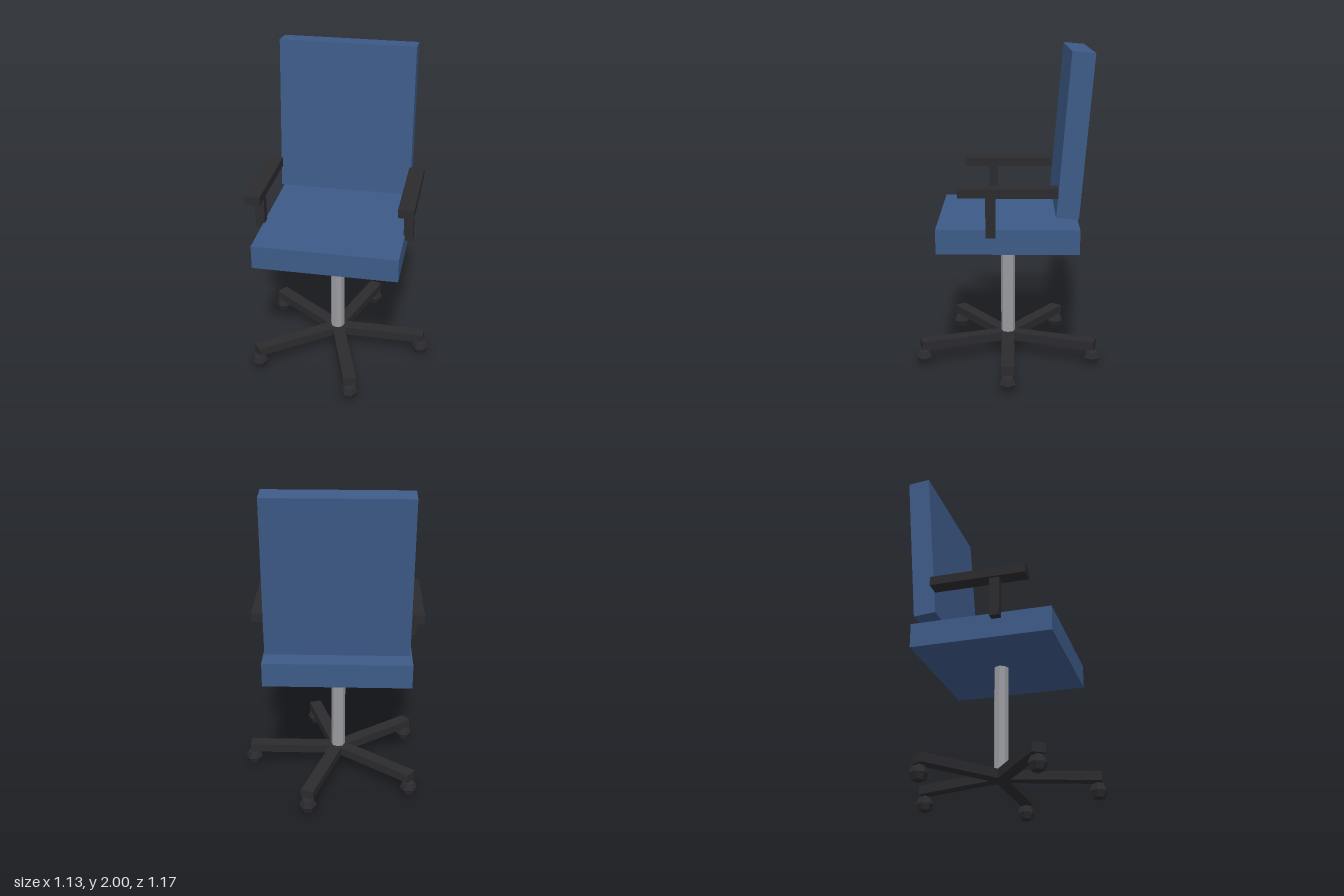
import * as THREE from 'three';

const material = (color) => new THREE.MeshStandardMaterial({ color, flatShading: true });

export function createModel() {
  const chair = new THREE.Group();
  chair.name = 'officeChair';
  const fabric = material(0x3d5a87);
  const plastic = material(0x2b2a2e);
  const metal = material(0x9a9ba1);

  const add = (name, geometry, mat, x, y, z, parent = chair) => {
    const mesh = new THREE.Mesh(geometry, mat);
    mesh.name = name;
    mesh.position.set(x, y, z);
    parent.add(mesh);
    return mesh;
  };
  const box = (w, h, d) => new THREE.BoxGeometry(w, h, d);

  // Seat and reclined backrest
  add('seat', box(0.89, 0.15, 0.85), fabric, 0, 0.895, 0);
  const back = add('backrest', box(0.85, 0.963, 0.134), fabric, 0, 1.514, -0.388);
  back.rotation.x = -0.08;

  // Armrests: a long pad on a short post
  for (const [side, s] of [['left', 1], ['right', -1]]) {
    add(side + 'ArmPad', box(0.096, 0.055, 0.58), plastic, s * 0.463, 1.203, 0);
    add(side + 'ArmPost', box(0.058, 0.245, 0.058), plastic, s * 0.465, 1.057, 0.1);
  }

  // Central column
  add('column', new THREE.CylinderGeometry(0.045, 0.045, 0.69, 8), metal, 0, 0.478, 0);

  // Five-spoke base with a faceted caster near each tip
  const casterRadius = 0.055, reach = 0.563, legLength = 0.58;
  const legGeometry = box(legLength, 0.055, 0.08).translate(legLength / 2, 0, 0);
  const casterGeometry = new THREE.SphereGeometry(casterRadius, 6, 4);
  for (let i = 0; i < 5; i++) {
    const angle = (i / 5) * Math.PI * 2;
    add('baseLeg', legGeometry, plastic, 0, 0.138, 0).rotation.y = -angle;
    add('caster', casterGeometry, plastic, Math.cos(angle) * reach, casterRadius, Math.sin(angle) * reach);
  }

  // The base reaches further to the left, so shift to centre the whole
  chair.children.forEach((part) => { part.position.x -= 0.055; });
  return chair;
}
